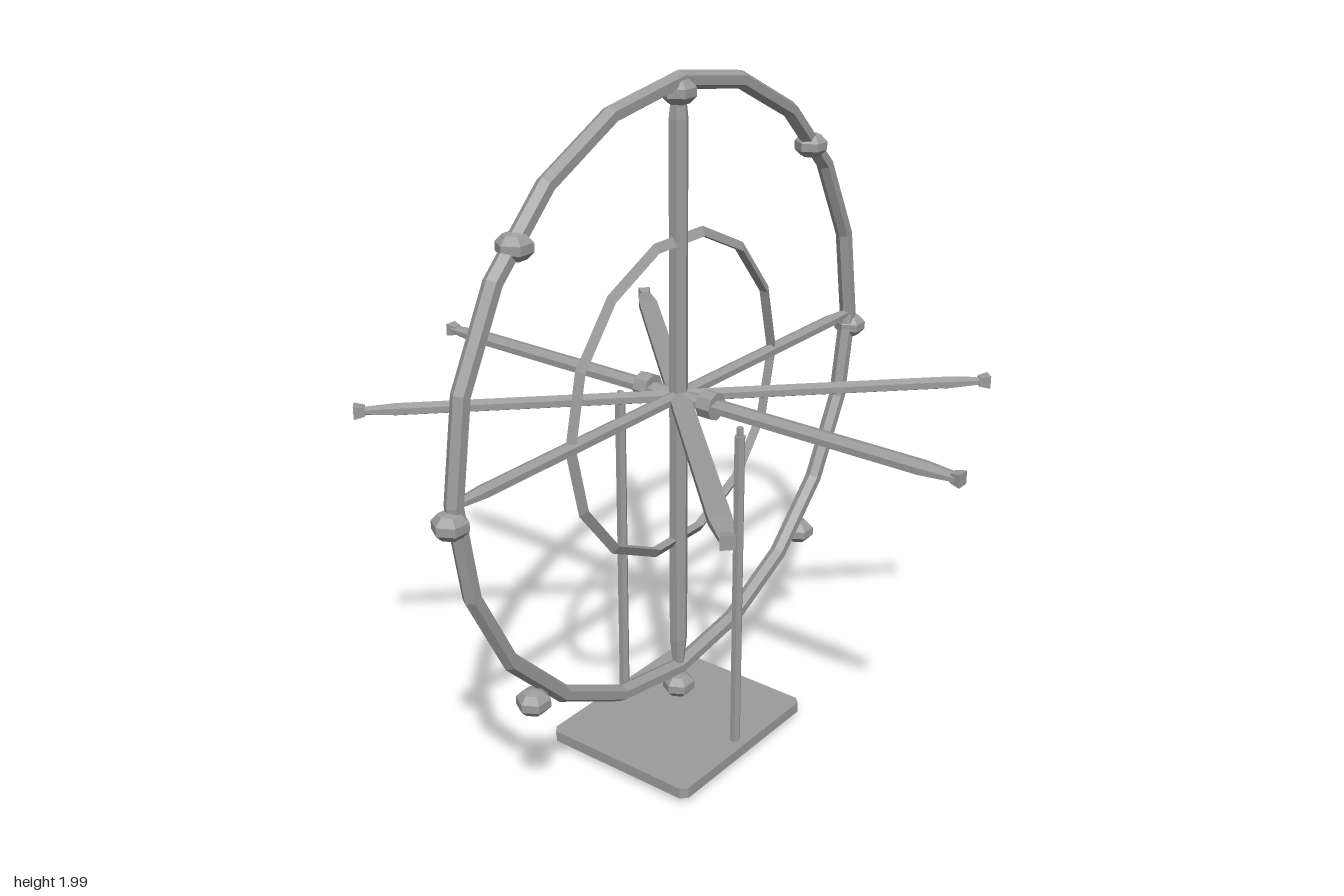
import * as THREE from 'three';

const grey = new THREE.MeshStandardMaterial({ color: 0x9c9c9c });
const HUB_Y = 1.095;

// Faceted mesh: split the faces so that each has its own normal
function part(name, geometry, parent) {
  const g = geometry.index ? geometry.toNonIndexed() : geometry;
  g.computeVertexNormals();
  const mesh = new THREE.Mesh(g, grey);
  mesh.name = name;
  parent.add(mesh);
  return mesh;
}

// Full-diameter spoke along y with tapered ends and small square tips
function makeSpoke(name, halfWidth, halfDepth, parent) {
  const group = new THREE.Group();
  group.name = name;
  const profile = [[0, -0.87], [0.6, -0.87], [1, -0.77], [1, 0.77], [0.6, 0.87], [0, 0.87]]
    .map(([r, y]) => new THREE.Vector2(r, y));
  const bar = new THREE.LatheGeometry(profile, 6);
  bar.scale(halfWidth / 0.866, 1, halfDepth);
  part('spokeBar', bar, group);
  for (const s of [-1, 1]) {
    const tip = part('spokeTip', new THREE.CylinderGeometry(0.026, 0.018, 0.03, 4), group);
    tip.geometry.rotateY(Math.PI / 4);
    if (s < 0) tip.rotation.x = Math.PI;
    tip.position.y = s * 0.868;
  }
  parent.add(group);
  return group;
}

export function createModel() {
  const model = new THREE.Group();
  model.name = 'ferrisWheel';

  // Base plate with clipped corners
  const w = 0.292, d = 0.248, c = 0.018;
  const outline = new THREE.Shape([
    [-w + c, -d], [w - c, -d], [w, -d + c], [w, d - c],
    [w - c, d], [-w + c, d], [-w, d - c], [-w, -d + c],
  ].map(([x, y]) => new THREE.Vector2(x, y)));
  const plate = new THREE.ExtrudeGeometry(outline, { depth: 0.033, bevelEnabled: false });
  plate.rotateX(-Math.PI / 2);
  part('basePlate', plate, model).position.y = 0.021;

  // Two upright posts, each with a thin core showing at both ends
  for (const z of [-0.21, 0.21]) {
    const post = part('post', new THREE.CylinderGeometry(0.016, 0.016, 1.01, 6), model);
    post.position.set(0, 0.525, z);
    const core = part('postCore', new THREE.CylinderGeometry(0.01, 0.01, 1.055, 6), model);
    core.position.set(0, 0.5275, z);
  }

  // Wheel rims
  const wheel = new THREE.Group();
  wheel.name = 'wheel';
  wheel.position.y = HUB_Y;
  model.add(wheel);
  part('outerRim', new THREE.TorusGeometry(0.87, 0.025, 6, 20), wheel);
  part('innerRim', new THREE.TorusGeometry(0.455, 0.017, 3, 14), wheel);

  // Upright spoke, then four spokes lying in a level star
  makeSpoke('uprightSpoke', 0.025, 0.026, wheel);
  const star = [[0, 0.029], [-Math.PI / 4, 0.029], [Math.PI / 4, 0.02], [Math.PI / 2, 0.02]];
  for (const [angle, halfWidth] of star) {
    const spoke = makeSpoke('levelSpoke', halfWidth, 0.018, wheel);
    spoke.rotation.set(Math.PI / 2, angle, 0, 'YXZ');
  }

  // Hub collars on the front and back
  for (const z of [-0.11, 0.11]) {
    const collar = new THREE.CylinderGeometry(0.04, 0.04, 0.045, 8);
    collar.rotateX(Math.PI / 2);
    part('hubCollar', collar, wheel).position.z = z;
  }

  // Eight cabins hanging just below the rim
  for (let i = 0; i < 8; i++) {
    const a = (i * Math.PI) / 4;
    const cabin = new THREE.SphereGeometry(0.05, 6, 5);
    cabin.scale(1, 0.75, 1);
    part('cabin', cabin, wheel)
      .position.set(0.885 * Math.cos(a), 0.885 * Math.sin(a) - 0.045, 0);
  }

  return model;
}
